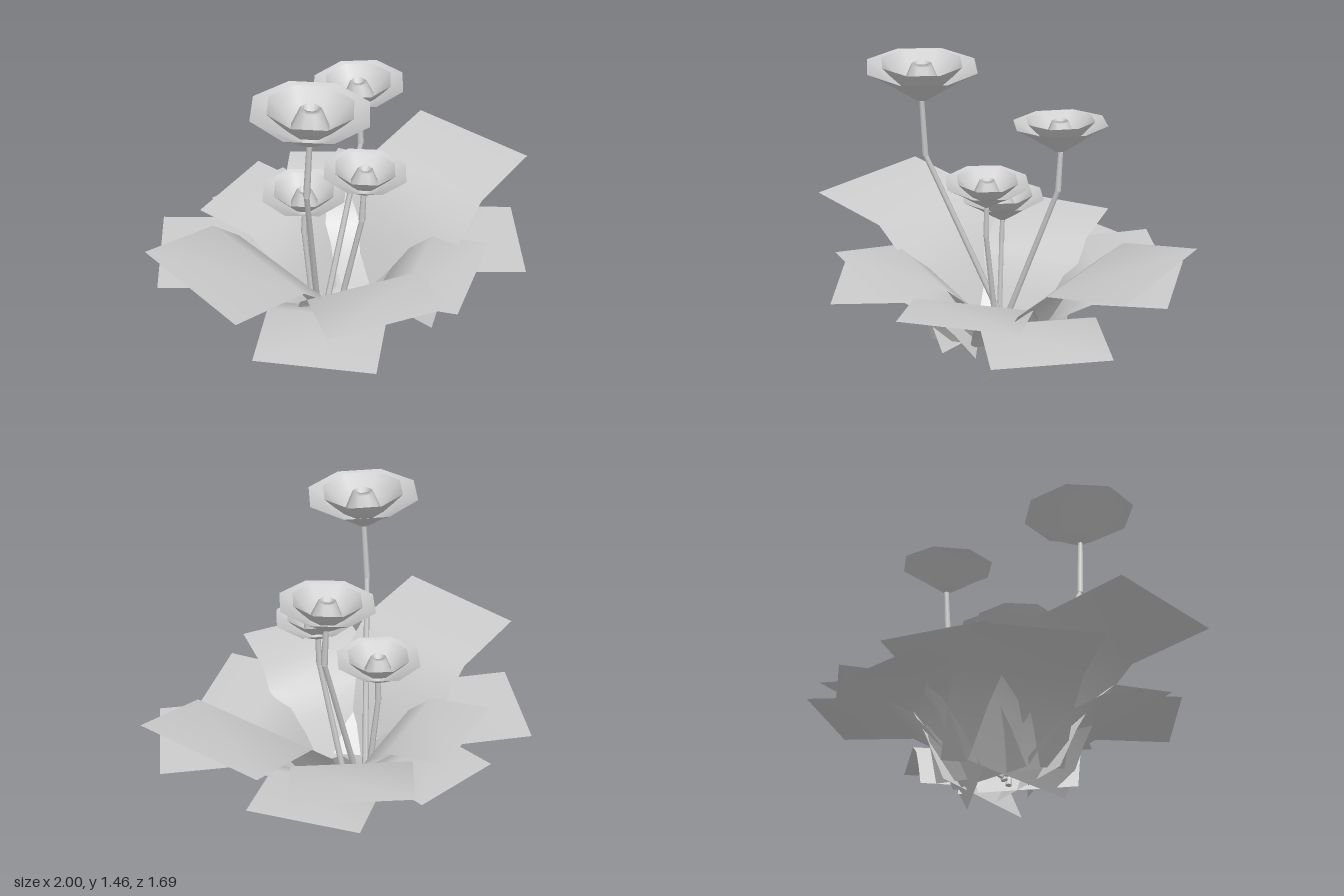
import * as THREE from 'three';

const grey = new THREE.MeshStandardMaterial({ color: 0xcccccc, side: THREE.DoubleSide });
grey.name = 'plain grey';

// Leaf side profile from root to knee to tip: fractions of reach, and of rise up to the knee
const REACH = [0.16, 0.28, 0.4, 0.57, 1];
const RISE = [0, 0.42, 0.75, 1];

// Bent rectangular sheet from the two ends of its tip edge; lean slides the root sideways
function makeLeaf([ax, az, bx, bz, tipY, kneeY, rootY, lean]) {
  const a = new THREE.Vector2(ax, az), b = new THREE.Vector2(bx, bz);
  const centre = a.clone().add(b).multiplyScalar(0.5);
  const side = b.clone().sub(a);
  const width = side.length();
  side.normalize();
  const out = new THREE.Vector2(side.y, -side.x);
  if (out.dot(centre) < 0) out.negate();
  const reach = out.dot(centre);

  const rows = REACH.length, points = [], faces = [];
  for (let i = 0; i < rows; i++) {
    const back = reach * (REACH[i] - 1);
    const y = i < RISE.length ? rootY + (kneeY - rootY) * RISE[i] : tipY;
    for (const s of [-0.5, 0.5]) {
      const across = width * s + lean * (1 - REACH[i]);
      points.push(
        centre.x + out.x * back + side.x * across, y,
        centre.y + out.y * back + side.y * across);
    }
    if (i < rows - 1) {
      const k = i * 2;
      faces.push(k, k + 1, k + 2, k + 1, k + 3, k + 2);
    }
  }
  const geo = new THREE.BufferGeometry();
  geo.setAttribute('position', new THREE.Float32BufferAttribute(points, 3));
  geo.setIndex(faces);
  geo.computeVertexNormals();
  const leaf = new THREE.Mesh(geo, grey);
  leaf.name = 'leaf';
  return leaf;
}

// Eight-sided turned shell
function turned(name, profile) {
  const pts = profile.map(([r, y]) => new THREE.Vector2(r, y));
  const mesh = new THREE.Mesh(new THREE.LatheGeometry(pts, 8), grey);
  mesh.name = name;
  return mesh;
}

// Two nested bowls around a hollow cone
function makeFlower() {
  const flower = new THREE.Group();
  flower.name = 'flower';
  flower.add(
    turned('outerPetals', [[0, 0], [0.03, 0.008], [0.1, 0.055], [0.17, 0.105], [0.275, 0.17]]),
    turned('innerPetals', [[0.06, 0.07], [0.1, 0.085], [0.155, 0.14], [0.2, 0.19]]),
    turned('flowerHeart', [[0.09, 0.085], [0.05, 0.18], [0.035, 0.19], [0.025, 0.15], [0, 0.15]]));
  return flower;
}

// Straight stalk section between two points
function makeStalk(from, to) {
  const dir = to.clone().sub(from);
  const geo = new THREE.CylinderGeometry(0.013, 0.016, dir.length(), 6);
  const stalk = new THREE.Mesh(geo, grey);
  stalk.name = 'stalk';
  stalk.position.copy(from).add(to).multiplyScalar(0.5);
  stalk.quaternion.setFromUnitVectors(new THREE.Vector3(0, 1, 0), dir.normalize());
  return stalk;
}

export function createModel() {
  const model = new THREE.Group();
  model.name = 'floweringPlant';

  // Leaves: tip edge ends (x, z, x, z), heights of tip, knee and root, lean
  const leaves = [
    [0.68, -0.64, 1.0, -0.04, 0.685, 0.615, 0.04, 0],
    [-1.0, 0.02, -0.77, 0.66, 0.685, 0.615, 0.03, -0.08],
    [-0.38, 0.73, 0.19, 0.73, 0.53, 0.51, 0.06, 0.05],
    [-0.21, -0.72, -0.62, -0.41, 0.53, 0.49, 0.06, 0],
    [0.0, -0.82, 0.53, -0.61, 0.475, 0.44, 0.0, -0.06],
    [0.645, 0.27, 0.27, 0.7, 0.45, 0.425, 0.06, 0],
    [0.29, -0.85, 0.68, -0.49, 0.41, 0.385, 0.06, 0],
    [-0.05, -0.79, -0.49, -0.66, 0.405, 0.39, 0.04, 0],
    [-0.77, -0.57, -0.95, -0.03, 0.42, 0.4, 0.1, 0],
    [-0.675, 0.555, -0.19, 0.84, 0.36, 0.375, 0.08, 0],
    [0.93, -0.04, 0.75, 0.47, 0.385, 0.4, 0.09, 0],
  ];
  const foliage = new THREE.Group();
  foliage.name = 'foliage';
  leaves.forEach((l) => foliage.add(makeLeaf(l)));
  model.add(foliage);

  // Stems: root, bend and head points, flower size and sideways tilt
  const stems = [
    [[-0.13, 0.04, -0.07], [-0.3, 0.98, 0.275], [-0.288, 1.262, 0.292], 1, -0.05],
    [[-0.1, 0.04, -0.03], [0.155, 0.87, -0.2], [0.152, 1.06, -0.212], 0.83, 0.05],
    [[-0.05, 0.04, 0.02], [0.032, 0.65, 0.12], [0.04, 0.805, 0.12], 0.75, -0.05],
    [[-0.16, 0.04, -0.05], [-0.19, 0.5, -0.08], [-0.185, 0.61, -0.083], 0.77, 0],
  ];
  for (const [root, bend, head, size, tilt] of stems) {
    const [r, b, h] = [root, bend, head].map((p) => new THREE.Vector3(...p));
    const flower = makeFlower();
    flower.position.copy(h);
    flower.scale.setScalar(size);
    flower.rotation.z = tilt;
    const stem = new THREE.Group();
    stem.name = 'floweringStem';
    stem.add(makeStalk(r, b), makeStalk(b, h), flower);
    model.add(stem);
  }
  return model;
}
